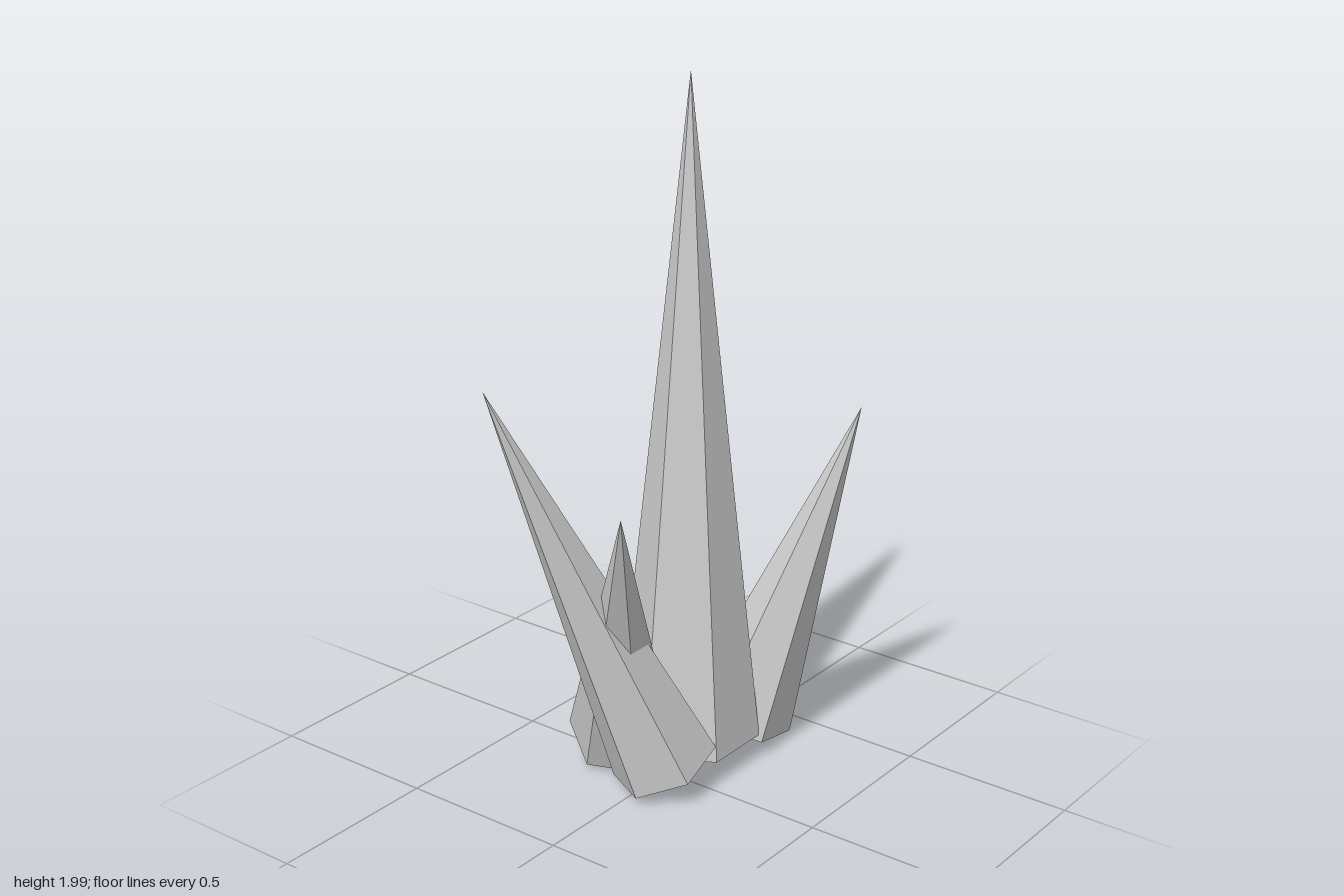
import * as THREE from 'three';

// One six-sided spike: base centre, tip, base radius and the direction of one base corner
function makeSpike(name, material, base, tip, radius, corner) {
  const start = new THREE.Vector3(...base);
  const axis = new THREE.Vector3(...tip).sub(start);
  const length = axis.length();
  axis.normalize();
  const z = new THREE.Vector3(...corner).projectOnPlane(axis).normalize();
  const x = new THREE.Vector3().crossVectors(axis, z);

  const geometry = new THREE.ConeGeometry(radius, length, 6, 1);
  geometry.translate(0, length / 2, 0);
  const mesh = new THREE.Mesh(geometry, material);
  mesh.name = name;
  mesh.quaternion.setFromRotationMatrix(new THREE.Matrix4().makeBasis(x, axis, z));
  mesh.position.copy(start);
  return mesh;
}

export function createModel() {
  const group = new THREE.Group();
  group.name = 'crystalCluster';

  const crystal = new THREE.MeshStandardMaterial({ color: 0xcccccc });
  crystal.name = 'pale grey crystal';
  crystal.flatShading = true;

  // Tall upright spike ringed by four leaning ones
  const spikes = [
    ['centreSpike', [-0.02, 0.08, -0.128], [-0.02, 2, -0.128], 0.205, [0, 0, 1]],
    ['frontLongSpike', [0.035, 0.08, 0.055], [-0.22, 1.25, 0.485], 0.154, [0.135, 0, 0.07]],
    ['frontShortSpike', [-0.175, 0.08, -0.018], [0.14, 0.95, 0.375], 0.154, [-0.13, 0.018, 0.075]],
    ['backLeftSpike', [0.035, 0.08, -0.307], [0.305, 1.04, -0.487], 0.154, [0.13, -0.02, 0.075]],
    ['backRightSpike', [-0.183, 0.08, -0.245], [-0.195, 1.0, -0.43], 0.154, [0.123, -0.017, -0.085]],
  ];
  for (const [name, base, tip, radius, corner] of spikes) {
    group.add(makeSpike(name, crystal, base, tip, radius, corner));
  }
  return group;
}
